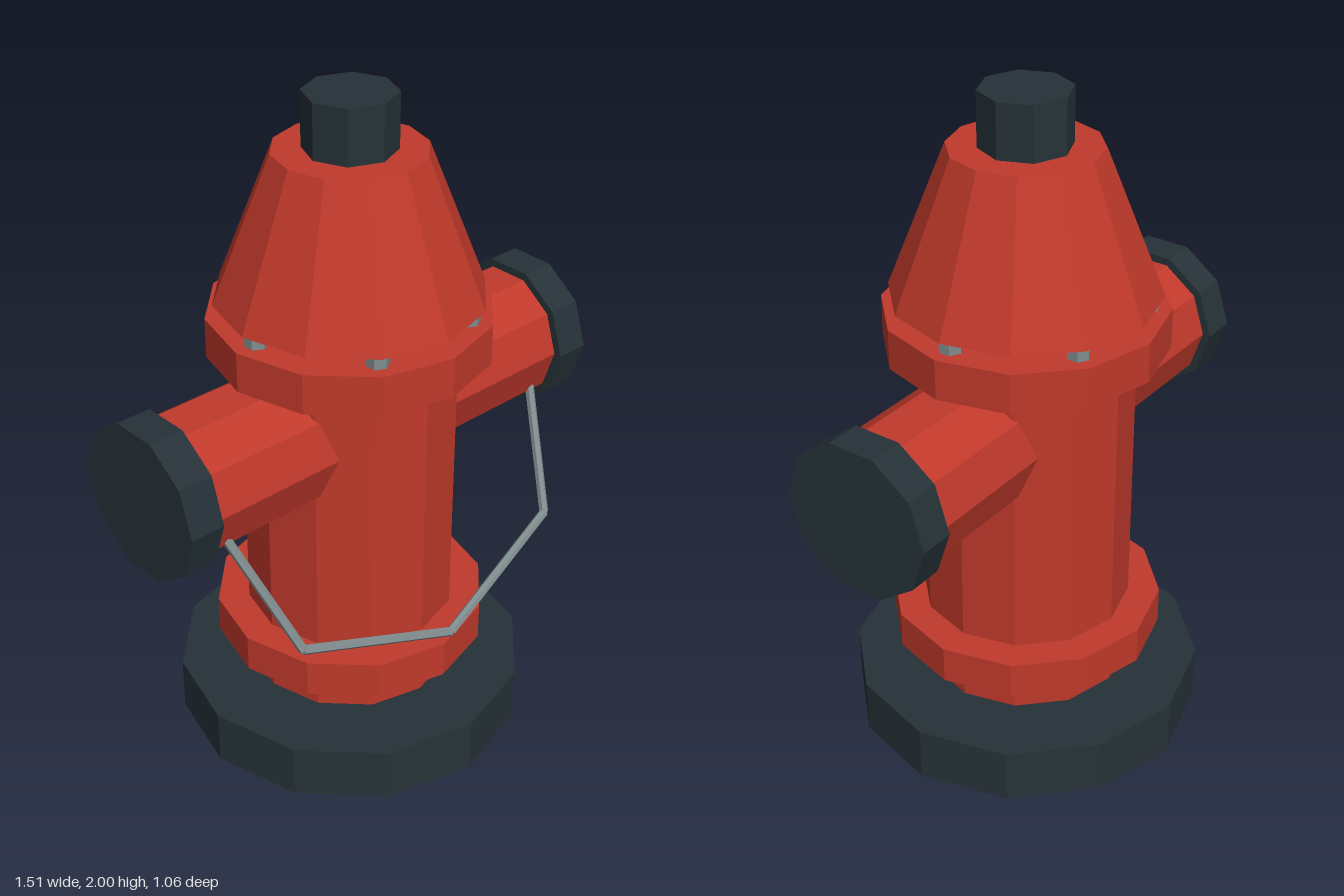
import * as THREE from 'three';

const flat = (name, color) => {
  const m = new THREE.MeshStandardMaterial({ color, flatShading: true });
  m.name = name;
  return m;
};

export function createModel() {
  const red = flat('red paint', 0xc0392b);
  const dark = flat('dark iron', 0x263238);
  const steel = flat('steel', 0x7f8c8d);

  const hydrant = new THREE.Group();
  hydrant.name = 'hydrant';

  const add = (name, geometry, material) => {
    const mesh = new THREE.Mesh(geometry, material);
    mesh.name = name;
    hydrant.add(mesh);
    return mesh;
  };

  // Upright faceted drum between two heights
  const drum = (name, rTop, rBottom, y0, y1, sides, material) => {
    const mesh = add(name, new THREE.CylinderGeometry(rTop, rBottom, y1 - y0, sides), material);
    mesh.position.y = (y0 + y1) / 2;
    return mesh;
  };

  // Sideways faceted drum between two x positions
  const nozzleDrum = (name, r, x0, x1, material) => {
    const mesh = add(name, new THREE.CylinderGeometry(r, r, Math.abs(x1 - x0), 10), material);
    mesh.rotation.z = Math.PI / 2;
    mesh.position.set((x0 + x1) / 2, 1.045, 0);
  };

  // Straight rod between two points
  const rod = (name, a, b, r) => {
    const dir = b.clone().sub(a);
    const mesh = add(name, new THREE.CylinderGeometry(r, r, dir.length(), 6), steel);
    mesh.position.copy(a).add(b).multiplyScalar(0.5);
    mesh.quaternion.setFromUnitVectors(new THREE.Vector3(0, 1, 0), dir.normalize());
  };

  // Central column
  drum('base', 0.532, 0.532, 0, 0.17, 12, dark);
  drum('barrel', 0.315, 0.315, 0.17, 1.41, 12, red);
  drum('lowerFlange', 0.41, 0.41, 0.285, 0.4, 12, red);
  drum('upperFlange', 0.41, 0.41, 1.25, 1.37, 12, red);
  drum('bonnet', 0.218, 0.388, 1.41, 1.84, 12, red);
  drum('topNut', 0.132, 0.132, 1.84, 2, 8, dark);

  // Bolts under the bonnet rim
  for (let i = 0; i < 6; i++) {
    const angle = (i * Math.PI) / 3;
    const bolt = drum('bolt', 0.034, 0.034, 1.365, 1.403, 6, steel);
    bolt.position.x = Math.cos(angle) * 0.34;
    bolt.position.z = Math.sin(angle) * 0.34;
  }

  // Side nozzles, caps and hanging chain
  const chainMiddle = new THREE.Vector3(0, 0.463, 0.435);
  for (const s of [1, -1]) {
    nozzleDrum('nozzle', 0.205, s * 0.2, s * 0.65, red);
    nozzleDrum('nozzleCap', 0.23, s * 0.65, s * 0.755, dark);
    const top = new THREE.Vector3(s * 0.595, 0.94, 0.16);
    const bend = new THREE.Vector3(s * 0.487, 0.61, 0.345);
    rod('chainUpper', top, bend, 0.014);
    rod('chainLower', bend, chainMiddle, 0.014);
  }

  return hydrant;
}
